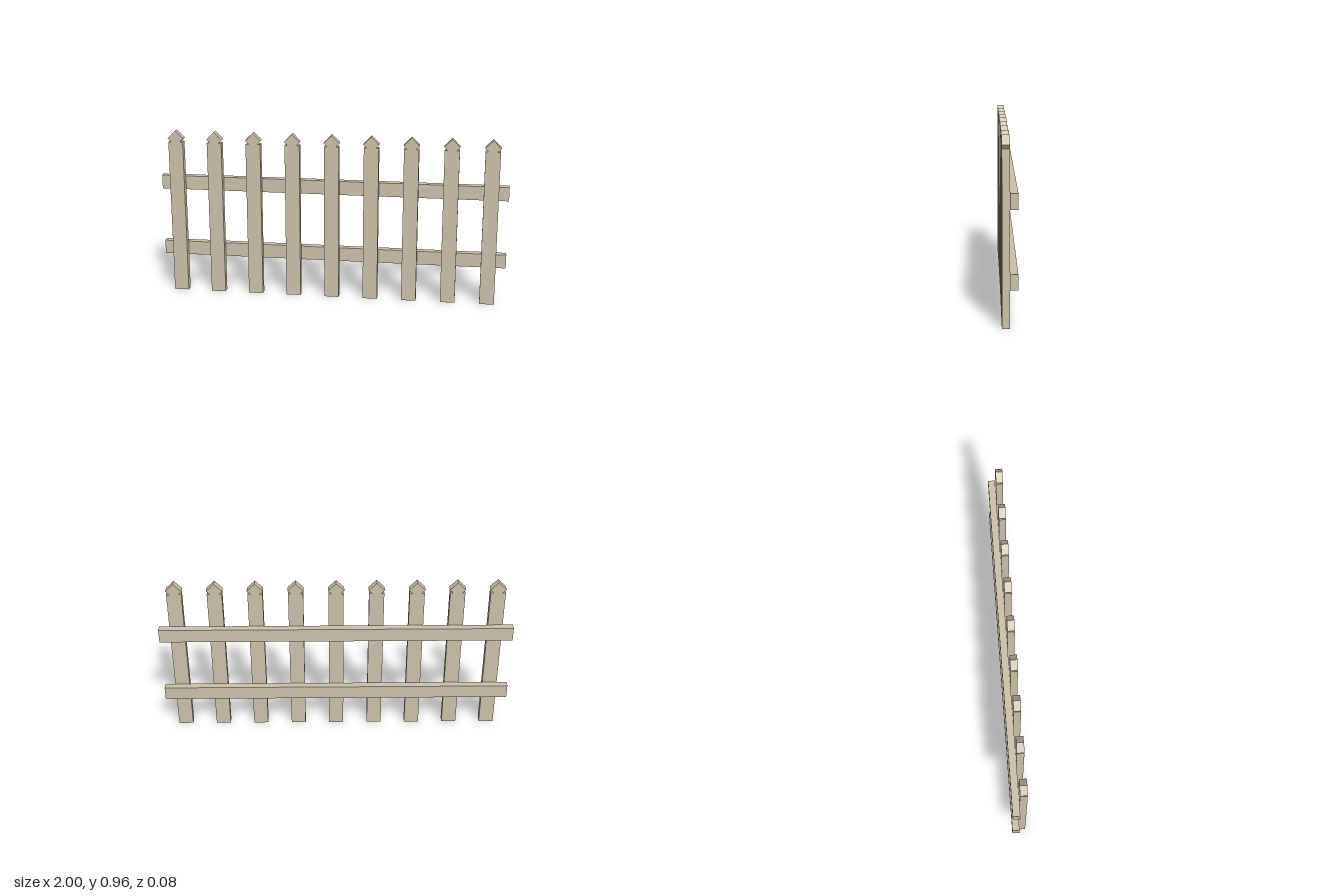
import * as THREE from 'three';

export function createModel() {
  const fence = new THREE.Group();
  fence.name = 'picketFence';
  const wood = new THREE.MeshStandardMaterial({ color: 0xcabfa8 });
  wood.name = 'paleWood';

  // Picket outline: straight board with a notched, diamond-shaped tip
  const half = 0.042, boardTop = 0.9, tipHalf = 0.045, tipMid = 0.92;
  const neck = tipHalf - (tipMid - boardTop);
  const outline = new THREE.Shape([
    [-half, 0], [half, 0], [half, boardTop], [neck, boardTop],
    [tipHalf, tipMid], [0, tipMid + tipHalf], [-tipHalf, tipMid],
    [-neck, boardTop], [-half, boardTop],
  ].map(([x, y]) => new THREE.Vector2(x, y)));
  const picketGeometry = new THREE.ExtrudeGeometry(outline, { depth: 0.04, bevelEnabled: false });

  // Nine evenly spaced pickets
  for (let i = 0; i < 9; i++) {
    const picket = new THREE.Mesh(picketGeometry, wood);
    picket.name = `picket${i + 1}`;
    picket.position.x = -0.9 + i * 0.225;
    fence.add(picket);
  }

  // Two rails behind the pickets
  const railGeometry = new THREE.BoxGeometry(2, 0.08, 0.04);
  for (const [name, y] of [['lowerRail', 0.25], ['upperRail', 0.65]]) {
    const rail = new THREE.Mesh(railGeometry, wood);
    rail.name = name;
    rail.position.set(0, y, -0.02);
    fence.add(rail);
  }
  return fence;
}
